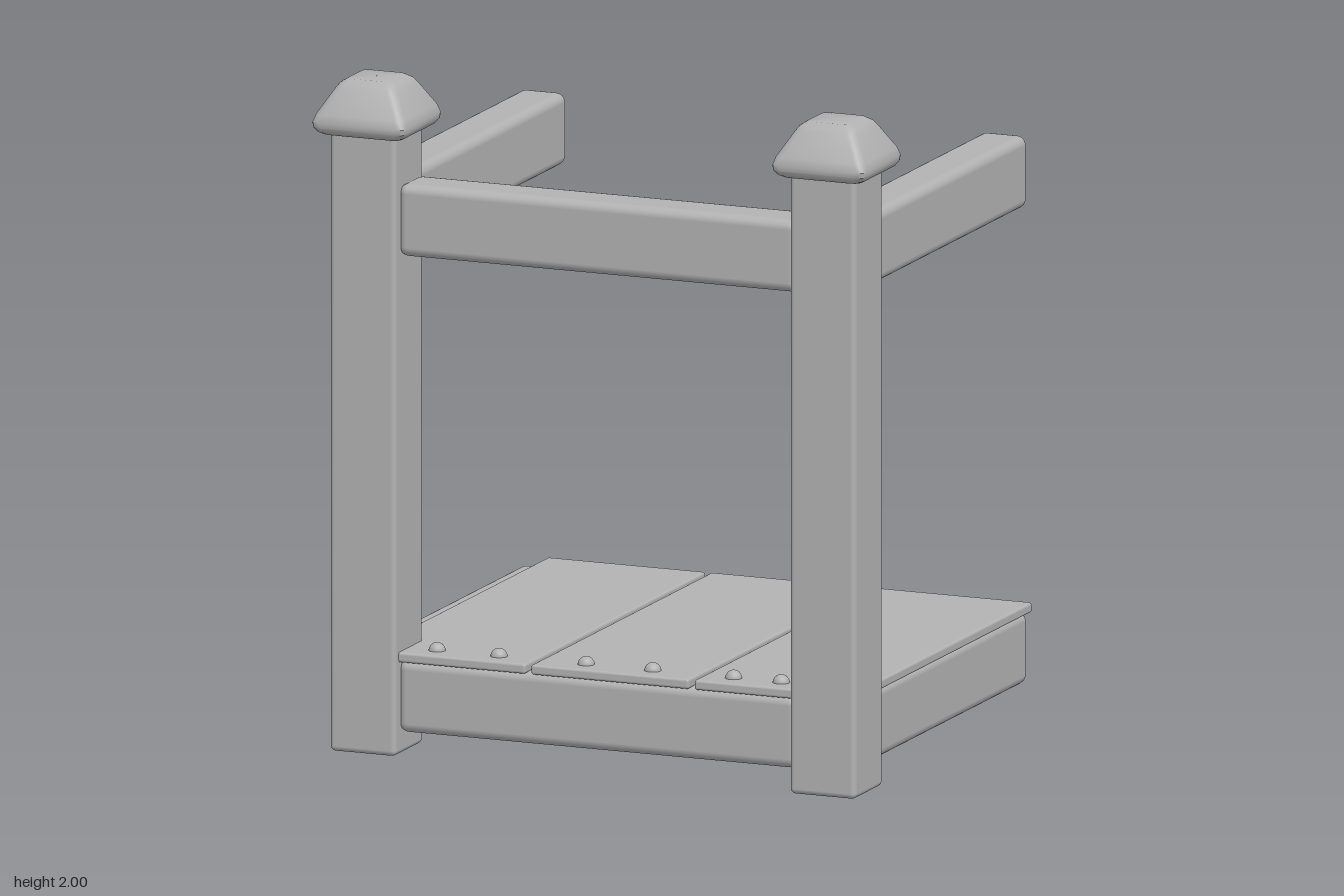
import * as THREE from 'three';
import { toCreasedNormals } from 'three/addons/utils/BufferGeometryUtils.js';
import { RoundedBoxGeometry } from 'three/addons/geometries/RoundedBoxGeometry.js';

const grey = new THREE.MeshStandardMaterial({ color: 0xb2b2b2 });
grey.name = 'plain grey';

// Rounded square loft; the profile lists [half width, height] from bottom to top.
function capGeometry(profile) {
  const positions = [], index = [], steps = 3, n = 4 * (steps + 1);
  for (const [half, y] of profile) {
    const r = Math.min(0.025, half * 0.3);
    for (let corner = 0; corner < 4; corner++) {
      const mid = Math.PI / 4 + corner * Math.PI / 2;
      const cx = Math.sign(Math.cos(mid)) * (half - r);
      const cz = Math.sign(Math.sin(mid)) * (half - r);
      for (let s = 0; s <= steps; s++) {
        const a = (corner + s / steps) * Math.PI / 2;
        positions.push(cx + r * Math.cos(a), y, cz + r * Math.sin(a));
      }
    }
  }
  for (let k = 0; k < profile.length - 1; k++) {
    for (let i = 0; i < n; i++) {
      const a = k * n + i, b = k * n + (i + 1) % n;
      index.push(a, a + n, b, b, a + n, b + n);
    }
  }
  const geometry = new THREE.BufferGeometry();
  geometry.setAttribute('position', new THREE.Float32BufferAttribute(positions, 3));
  geometry.setIndex(index);
  return toCreasedNormals(geometry, 0.6);
}

export function createModel() {
  const model = new THREE.Group();
  model.name = 'porchFrame';

  const add = (name, geometry, x, y, z) => {
    const mesh = new THREE.Mesh(geometry, grey);
    mesh.name = name;
    mesh.position.set(x, y, z);
    model.add(mesh);
  };
  // Rounded block given by its limits on each axis
  const block = (name, [x0, x1], [y0, y1], [z0, z1], radius) =>
    add(name, new RoundedBoxGeometry(x1 - x0, y1 - y0, z1 - z0, 3, radius),
      (x0 + x1) / 2, (y0 + y1) / 2, (z0 + z1) / 2);

  // Posts with pyramid caps
  const cap = capGeometry([
    [0.001, 1.84], [0.122, 1.84], [0.136, 1.848], [0.146, 1.862], [0.148, 1.878],
    [0.14, 1.902], [0.097, 1.974], [0.087, 1.988], [0.068, 2], [0.001, 2],
  ]);
  for (const [side, sign] of [['left', 1], ['right', -1]]) {
    const x = sign * 0.725;
    block(side + 'Post', [x - 0.104, x + 0.104], [0.005, 1.86], [0.454, 0.662], 0.016);
    add(side + 'PostCap', cap, x, 0, 0.555);
  }

  // Upper and lower rails: one across the front, one back along each side
  for (const [level, y] of [['lower', [0.07, 0.285]], ['upper', [1.485, 1.7]]]) {
    block(level + 'FrontRail', [-0.63, 0.63], y, [0.477, 0.627], 0.028);
    block(level + 'LeftRail', [0.65, 0.797], y, [-0.698, 0.462], 0.028);
    block(level + 'RightRail', [-0.803, -0.656], y, [-0.698, 0.462], 0.028);
  }

  // Floor planks
  [-0.72, -0.205, 0.31].forEach((x, i) =>
    block('floorPlank' + (i + 1), [x, x + 0.498], [0.281, 0.311], [-0.7, 0.636], 0.008));

  // Domed nail heads along the front edge of the planks
  const nail = new THREE.SphereGeometry(0.025, 16, 6, 0, Math.PI * 2, 0, Math.PI / 2);
  [-0.53, -0.335, -0.06, 0.15, 0.405, 0.555].forEach((x, i) =>
    add('nailHead' + (i + 1), nail, x, 0.31, 0.565));

  return model;
}
